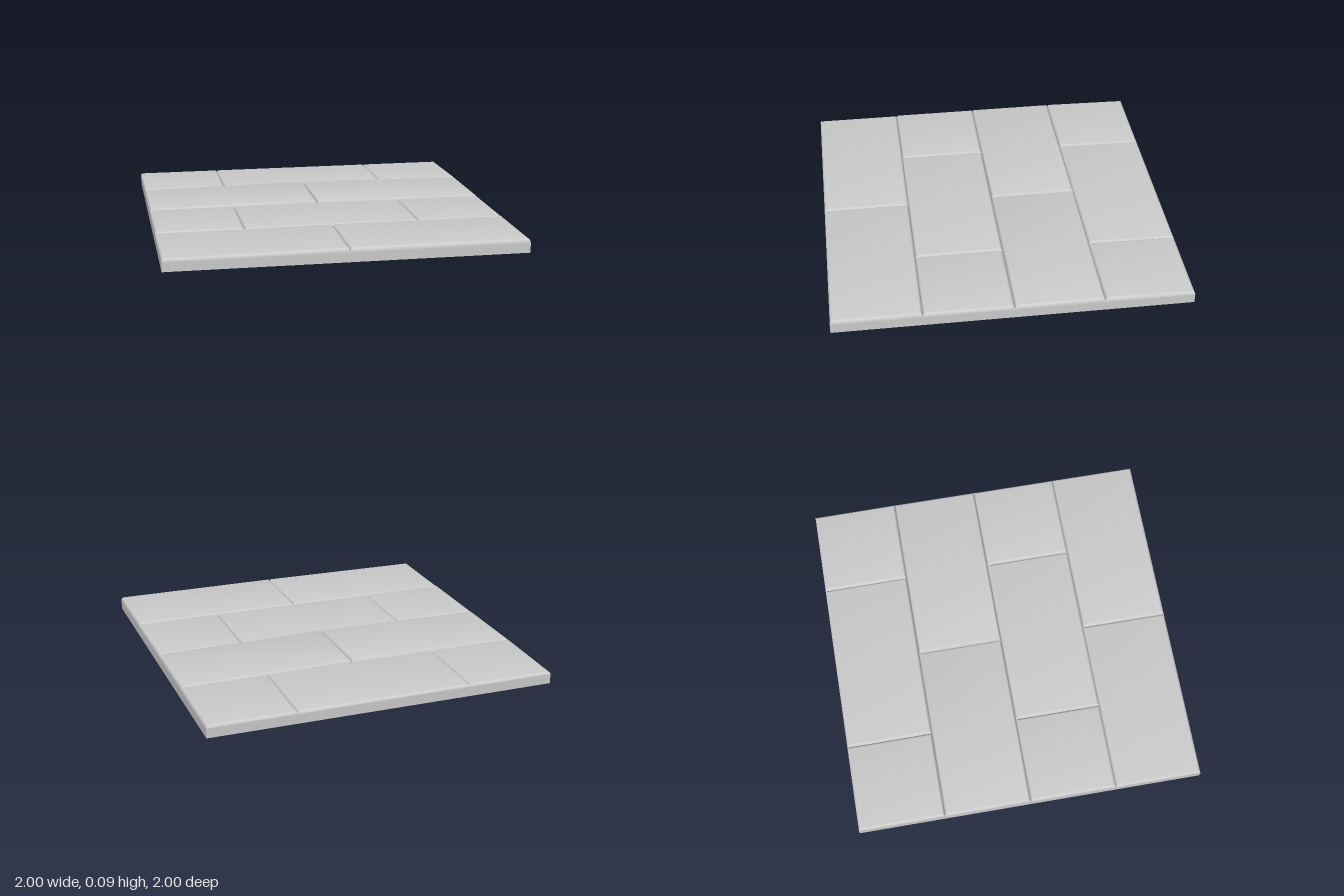
import * as THREE from 'three';
import { toCreasedNormals } from 'three/addons/utils/BufferGeometryUtils.js';

const BASE = 0.055;   // groove floor height
const BEVEL = 0.016;  // bevel width
const STEPS = 4;      // bevel segments

// Paving stone with a rounded rim; top(x, z) gives its slightly tilted surface
function stoneGeometry(x0, x1, z0, z1, top) {
  const pos = [], index = [];
  for (let i = 0; i <= STEPS; i++) {
    const a = (i / STEPS) * Math.PI / 2;
    const inset = BEVEL * (1 - Math.cos(a));
    const corners = [
      [x0 + inset, z0 + inset], [x0 + inset, z1 - inset],
      [x1 - inset, z1 - inset], [x1 - inset, z0 + inset],
    ];
    for (const [x, z] of corners) {
      pos.push(x, BASE + (top(x, z) - BASE) * Math.sin(a), z);
    }
  }
  for (let i = 0; i < STEPS; i++) {
    for (let j = 0; j < 4; j++) {
      const a = i * 4 + j, b = i * 4 + (j + 1) % 4;
      index.push(a, b, b + 4, a, b + 4, a + 4);
    }
  }
  const t = STEPS * 4;
  index.push(t, t + 1, t + 2, t, t + 2, t + 3);
  const geo = new THREE.BufferGeometry();
  geo.setAttribute('position', new THREE.Float32BufferAttribute(pos, 3));
  geo.setIndex(index);
  return toCreasedNormals(geo, 0.6);
}

export function createModel() {
  const group = new THREE.Group();
  group.name = 'pavingSlab';
  const material = new THREE.MeshStandardMaterial({ color: 0xcccccc });

  // Solid bed under the stones
  const bed = new THREE.Mesh(new THREE.BoxGeometry(2, BASE, 2), material);
  bed.name = 'bed';
  bed.position.y = BASE / 2;
  group.add(bed);

  // Rows from back to front: joints in x and surface height
  const rows = [
    { joints: [-1, -0.5, 0.5, 1], top: (x, z) => 0.08 + (z + 0.5) * 0.018 },
    { joints: [-1, 0, 1], top: (x) => 0.09 - Math.abs(x) * 0.011 },
    { joints: [-1, -0.5, 0.5, 1], top: () => 0.077 },
    { joints: [-1, 0, 1], top: (x) => 0.079 + Math.min(x, 0) * 0.007 },
  ];
  rows.forEach(({ joints, top }, r) => {
    const z0 = -1 + r * 0.5;
    for (let i = 0; i < joints.length - 1; i++) {
      const stone = new THREE.Mesh(stoneGeometry(joints[i], joints[i + 1], z0, z0 + 0.5, top), material);
      stone.name = `stoneRow${r + 1}Column${i + 1}`;
      group.add(stone);
    }
  });
  return group;
}
